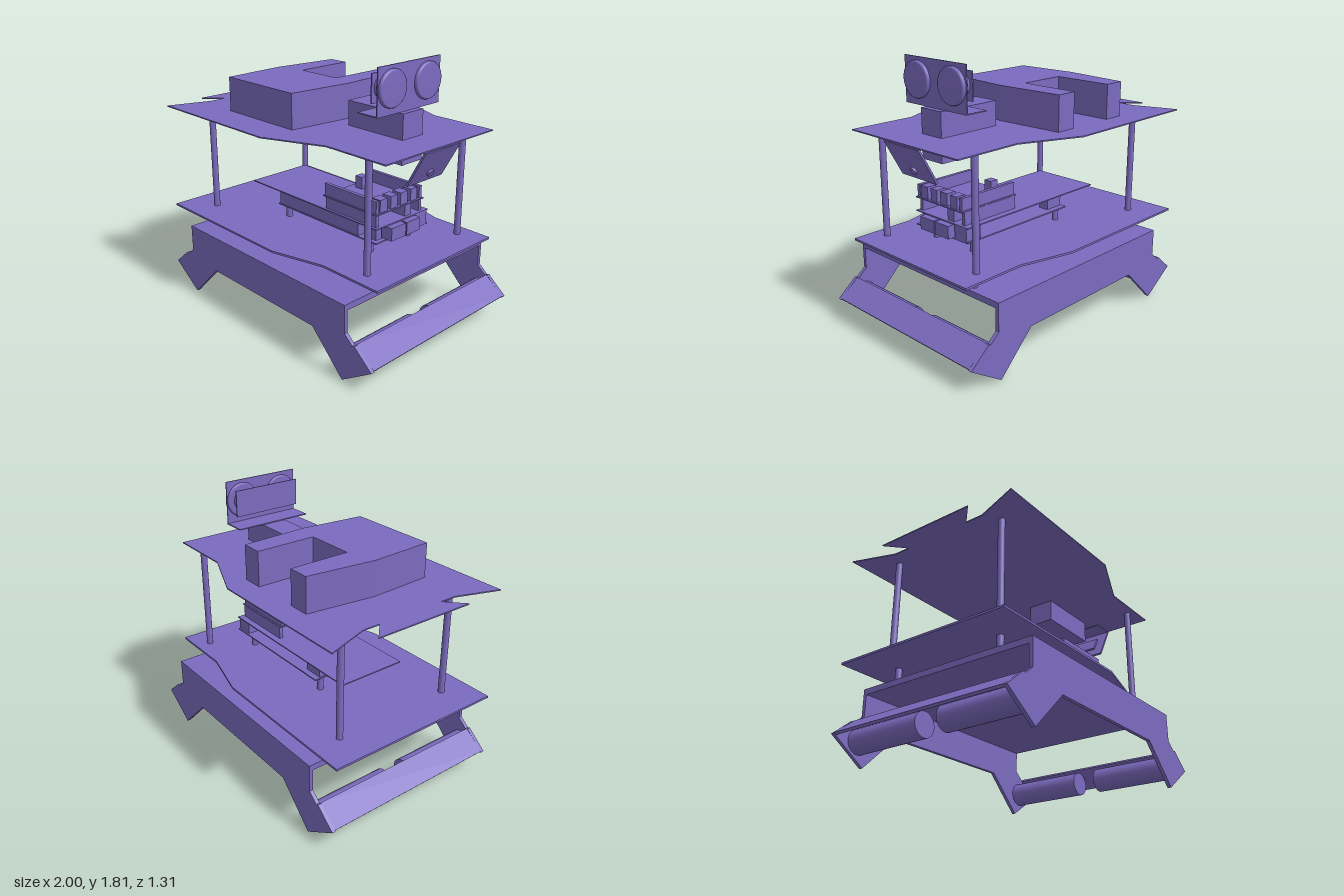
import * as THREE from 'three';

const purple = new THREE.MeshStandardMaterial({ color: 0x7b6bbf });
purple.name = 'purple';

export function createModel() {
  const root = new THREE.Group();
  root.name = 'rover';

  const add = (name, geo) => {
    const mesh = new THREE.Mesh(geo, purple);
    mesh.name = name;
    root.add(mesh);
    return mesh;
  };
  // box given by its limits on each axis
  const box = (name, x0, x1, y0, y1, z0, z1) =>
    add(name, new THREE.BoxGeometry(x1 - x0, y1 - y0, z1 - z0)
      .translate((x0 + x1) / 2, (y0 + y1) / 2, (z0 + z1) / 2));
  // upright round post
  const post = (name, x, z, y0, y1, r) =>
    add(name, new THREE.CylinderGeometry(r, r, y1 - y0, 24).translate(x, (y0 + y1) / 2, z));
  // slanted plate running between two points of the x-y plane
  const slant = (name, [ax, ay], [bx, by], t, z0, z1) => {
    const m = add(name, new THREE.BoxGeometry(Math.hypot(bx - ax, by - ay), t, z1 - z0));
    m.position.set((ax + bx) / 2, (ay + by) / 2, (z0 + z1) / 2);
    m.rotation.z = Math.atan2(by - ay, bx - ax);
    return m;
  };
  const toShape = pts => new THREE.Shape(pts.map(p => new THREE.Vector2(p[0], p[1])));
  // flat slab with an outline in x-z
  const slab = (name, pts, y0, y1) =>
    add(name, new THREE.ExtrudeGeometry(toShape(pts.map(([x, z]) => [x, -z])),
      { depth: y1 - y0, bevelEnabled: false }).rotateX(-Math.PI / 2).translate(0, y0, 0));
  // complete an outline by mirroring it across z
  const mirrorZ = half => [...half, ...half.map(([x, z]) => [x, -z]).reverse()];

  // chassis side plates with splayed legs
  const halfSide = [[0.5, 0.265], [0.76, 0.01], [1, 0.17], [0.862, 0.285],
    [0.845, 0.28], [0.78, 0.335], [0.78, 0.52]];
  const side = [...halfSide, ...halfSide.map(([x, y]) => [-x, y]).reverse()];
  for (const z of [0.63, -0.655]) {
    add('chassisSide', new THREE.ExtrudeGeometry(toShape(side),
      { depth: 0.025, bevelEnabled: false }).translate(0, 0, z));
  }
  box('chassisTop', -0.78, 0.78, 0.48, 0.52, -0.63, 0.63);

  // end plates and motors
  for (const s of [-1, 1]) {
    slant('endPlate', [s * 0.85, 0.28], [s * 0.99, 0.168], 0.018, -0.63, 0.63);
    for (const z of [-0.355, 0.355]) {
      add('motor', new THREE.CylinderGeometry(0.08, 0.08, 0.55, 32)
        .rotateX(Math.PI / 2).translate(s * 0.81, 0.16, z));
    }
  }

  // spacers under the lower deck and tall posts under the upper deck
  for (const z of [-1, 1]) {
    for (const x of [-0.737, 0, 0.73]) post('spacer', x, z * 0.4, 0.52, 0.607, 0.022);
    for (const x of [-0.775, 0.737]) post('deckPost', x, z * 0.428, 0.62, 1.356, 0.022);
  }

  // decks
  slab('lowerDeck', mirrorZ([[-1, 0.63], [0.1, 0.63], [0.47, 0.535], [0.92, 0.535]]), 0.606, 0.62);
  slab('upperDeck', mirrorZ([[-1, 0.355], [-0.88, 0.24], [-0.88, 0.36], [-0.98, 0.655],
    [0.05, 0.655], [0.45, 0.487], [0.917, 0.487]]), 1.355, 1.363);

  // U-shaped battery pack
  slab('batteryPack', [[-0.59, -0.02], [-0.535, -0.49], [-0.39, -0.49], [-0.39, -0.075],
    [-0.055, -0.075], [-0.055, -0.49], [0.09, -0.49], [0.115, -0.02], [0.07, 0.42],
    [-0.565, 0.42]], 1.363, 1.595);

  // servo and sensor bracket
  box('servo', 0.23, 0.685, 1.205, 1.525, -0.09, 0.09);
  box('bracketBase', 0.49, 0.648, 1.525, 1.532, -0.275, 0.275);
  box('bracketFace', 0.64, 0.648, 1.525, 1.82, -0.275, 0.275);

  // distance sensor with two round emitters
  box('sensorBoard', 0.566, 0.574, 1.59, 1.77, -0.245, 0.245);
  const rim = [[0, 0], [0.105, 0], [0.112, 0.004], [0.116, 0.012], [0.116, 0.034],
    [0.112, 0.042], [0.105, 0.046], [0, 0.046]].map(p => new THREE.Vector2(...p));
  for (const z of [-0.157, 0.157]) {
    add('sensorBarrel', new THREE.CylinderGeometry(0.07, 0.07, 0.06, 32)
      .rotateZ(-Math.PI / 2).translate(0.602, 1.682, z));
    add('sensorRim', new THREE.LatheGeometry(rim, 40)
      .rotateZ(-Math.PI / 2).translate(0.625, 1.682, z));
  }

  // tilted camera under the front edge
  box('cameraMount', 0.76, 0.92, 1.349, 1.355, -0.16, 0.16);
  slant('cameraPanel', [0.785, 1.12], [0.915, 1.352], 0.014, -0.16, 0.16);
  slant('cameraBack', [0.808, 1.19], [0.862, 1.287], 0.014, -0.09, 0.09);
  const lens = slant('cameraLens', [0.815, 1.187], [0.836, 1.175], 0.04, -0.02, 0.02);
  lens.geometry = new THREE.CylinderGeometry(0.025, 0.025, 0.03, 20).rotateZ(Math.PI / 2);

  // controller stack: lower board
  for (const x of [-0.262, 0.52]) {
    for (const z of [-0.175, 0.175]) post('boardSpacer', x, z, 0.62, 0.717, 0.022);
  }
  box('lowerBoard', -0.295, 0.63, 0.715, 0.724, -0.242, 0.242);
  box('lowerHeader', -0.285, 0.47, 0.724, 0.81, 0.17, 0.235);
  box('lowerHeader', -0.285, -0.15, 0.724, 0.81, -0.2, -0.13);
  for (const [x1, z0, z1] of [[0.675, 0.02, 0.15], [0.675, -0.115, 0.01], [0.63, -0.23, -0.125],
    [0.6, 0.16, 0.21]]) box('port', 0.51, x1, 0.724, 0.81, z0, z1);

  // middle board and its headers
  box('middleBoard', -0.57, 0.63, 0.81, 0.818, -0.242, 0.242);
  for (const [z0, z1] of [[0.2, 0.225], [-0.197, -0.172]])
    box('middleHeader', 0.165, 0.61, 0.818, 0.905, z0, z1);
  box('middleBlock', 0.5, 0.61, 0.818, 0.905, -0.1, -0.04);

  // top board with headers and terminal blocks
  box('topBoard', 0.155, 0.63, 0.903, 0.911, -0.195, 0.242);
  for (const [z0, z1] of [[0.21, 0.235], [-0.185, -0.162]])
    box('topHeader', 0.165, 0.62, 0.911, 0.993, z0, z1);
  for (const [z0, z1] of [[0.135, 0.2], [0.045, 0.105], [-0.05, 0.015], [-0.14, -0.08]])
    box('terminal', 0.55, 0.62, 0.911, 0.993, z0, z1);
  box('terminal', 0.2, 0.26, 0.911, 0.993, -0.07, -0.01);

  return root;
}
